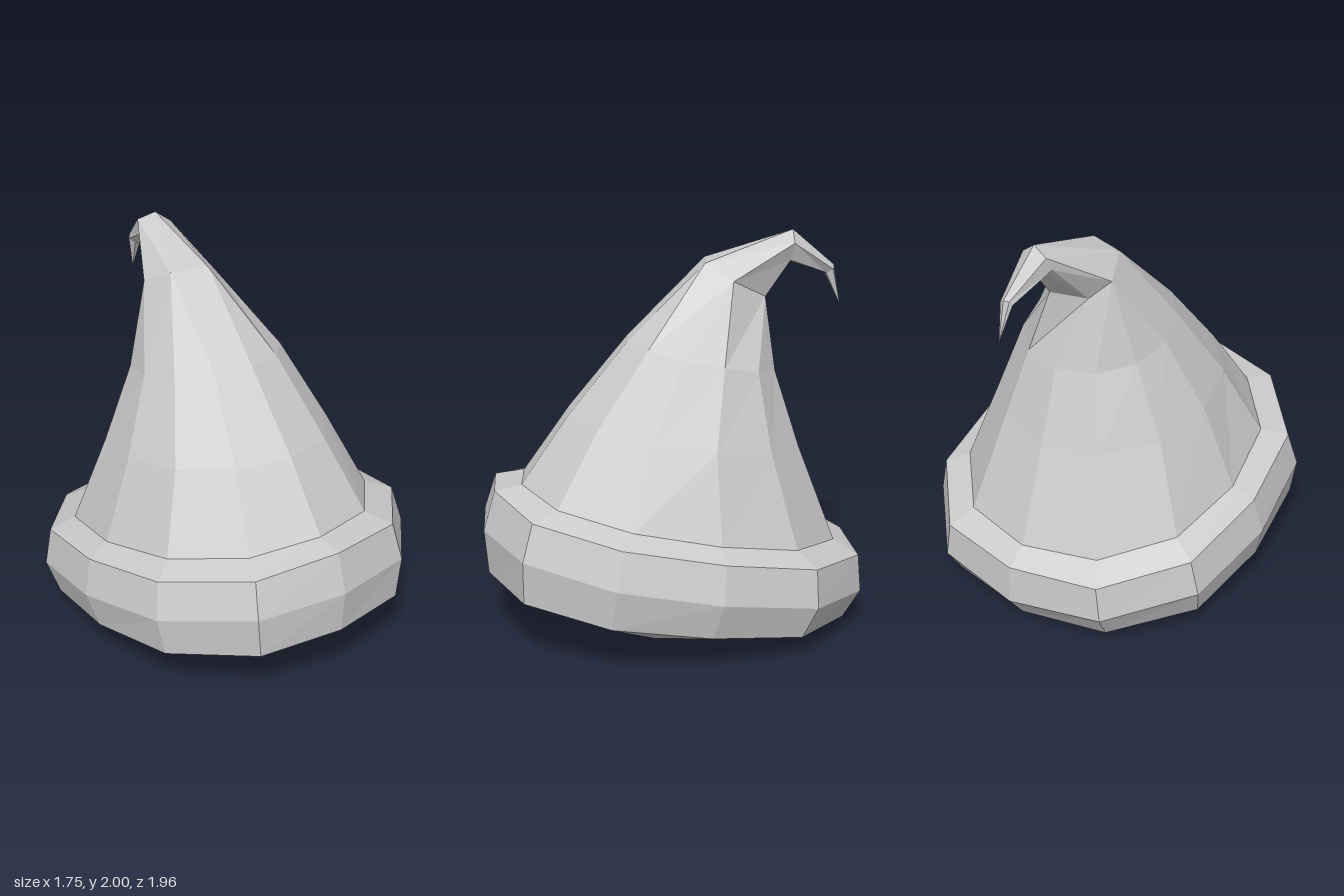
import * as THREE from 'three';

const SIDES = 12;
const material = new THREE.MeshStandardMaterial({ color: 0xcccccc, flatShading: true });

// Tilted oval ring, starting at the front (+z) and turning towards +x;
// the back half is slightly wider, and sag lowers all but the front and back corners
function oval(cy, cz, rx, rz, tilt, bulge = 1, sag = 0) {
  return Array.from({ length: SIDES }, (_, i) => {
    const a = (i / SIDES) * Math.PI * 2;
    const cos = Math.cos(a);
    const k = i % 3 ? bulge : 1;
    const wide = 1 + 0.06 * Math.max(0, -cos);
    const drop = i % 6 ? sag : 0;
    return new THREE.Vector3(rx * k * wide * Math.sin(a), cy + tilt * cos - drop, cz + rz * k * cos);
  });
}

// Six-cornered ring with each corner doubled, so that it joins a twelve-sided one
function hexRing(corners) {
  return Array.from({ length: SIDES }, (_, i) => new THREE.Vector3(...corners[i >> 1]));
}

function point(x, y, z) {
  return Array.from({ length: SIDES }, () => new THREE.Vector3(x, y, z));
}

// Skin consecutive rings, leaving out collapsed triangles
function loft(name, rings) {
  const positions = [];
  const add = (a, b, c) => {
    if (a.equals(b) || b.equals(c) || c.equals(a)) return;
    for (const v of [a, b, c]) positions.push(v.x, v.y, v.z);
  };
  for (let r = 0; r < rings.length - 1; r++) {
    const lo = rings[r], hi = rings[r + 1];
    for (let i = 0; i < SIDES; i++) {
      const j = (i + 1) % SIDES;
      add(lo[i], lo[j], hi[j]);
      add(lo[i], hi[j], hi[i]);
    }
  }
  const geometry = new THREE.BufferGeometry();
  geometry.setAttribute('position', new THREE.Float32BufferAttribute(positions, 3));
  geometry.computeVertexNormals();
  const mesh = new THREE.Mesh(geometry, material);
  mesh.name = name;
  return mesh;
}

export function createModel() {
  const hat = new THREE.Group();
  hat.name = 'pointedHat';

  const crownBase = oval(0.6, -0.04, 0.715, 0.82, 0.17, 1.02, 0.01);

  // Irregular opening, lying in the tilted plane of the underside
  const opening = hexRing([
    [0.22, 0.82], [0.71, 0.3], [0.48, -0.62], [-0.19, -0.62], [-0.62, -0.3], [-0.49, 0.64],
  ].map(([x, z]) => [x, 0.25 - 0.174 * (0.82 - z), z]));

  // Thick rolled brim
  hat.add(loft('brim', [
    opening,
    oval(0.17, 0.04, 0.825, 0.92, 0.15, 1.05),
    oval(0.35, 0, 0.875, 0.98, 0.195, 1.04),
    oval(0.555, -0.025, 0.83, 0.945, 0.195, 1.04, 0.018),
    crownBase,
  ]));

  // Crown leaning backwards up to the neck of the hook
  const neck = hexRing([
    [0.03, 1.85, -0.18], [0.15, 1.77, -0.29], [0.07, 1.67, -0.49],
    [-0.12, 1.67, -0.44], [-0.22, 1.77, -0.39], [-0.16, 1.85, -0.24],
  ]);
  hat.add(loft('crown', [
    crownBase,
    oval(1.01, -0.07, 0.55, 0.61, 0.09),
    oval(1.385, -0.165, 0.38, 0.385, 0.085),
    neck,
  ]));

  // Drooping hooked tip
  hat.add(loft('hookedTip', [
    neck,
    hexRing([
      [0.03, 2, -0.65], [0.11, 1.94, -0.63], [0.08, 1.85, -0.62],
      [-0.01, 1.84, -0.62], [-0.07, 1.9, -0.65], [-0.06, 1.97, -0.68],
    ]),
    hexRing([
      [0.04, 1.81, -0.875], [0.07, 1.79, -0.86], [0.05, 1.77, -0.83],
      [0.02, 1.77, -0.83], [0, 1.79, -0.86], [0.01, 1.81, -0.87],
    ]),
    point(0.05, 1.6, -0.91),
  ]));

  // Hollow inside, facing inwards
  hat.add(loft('lining', [point(0, 0.8, 0), opening]));

  return hat;
}
